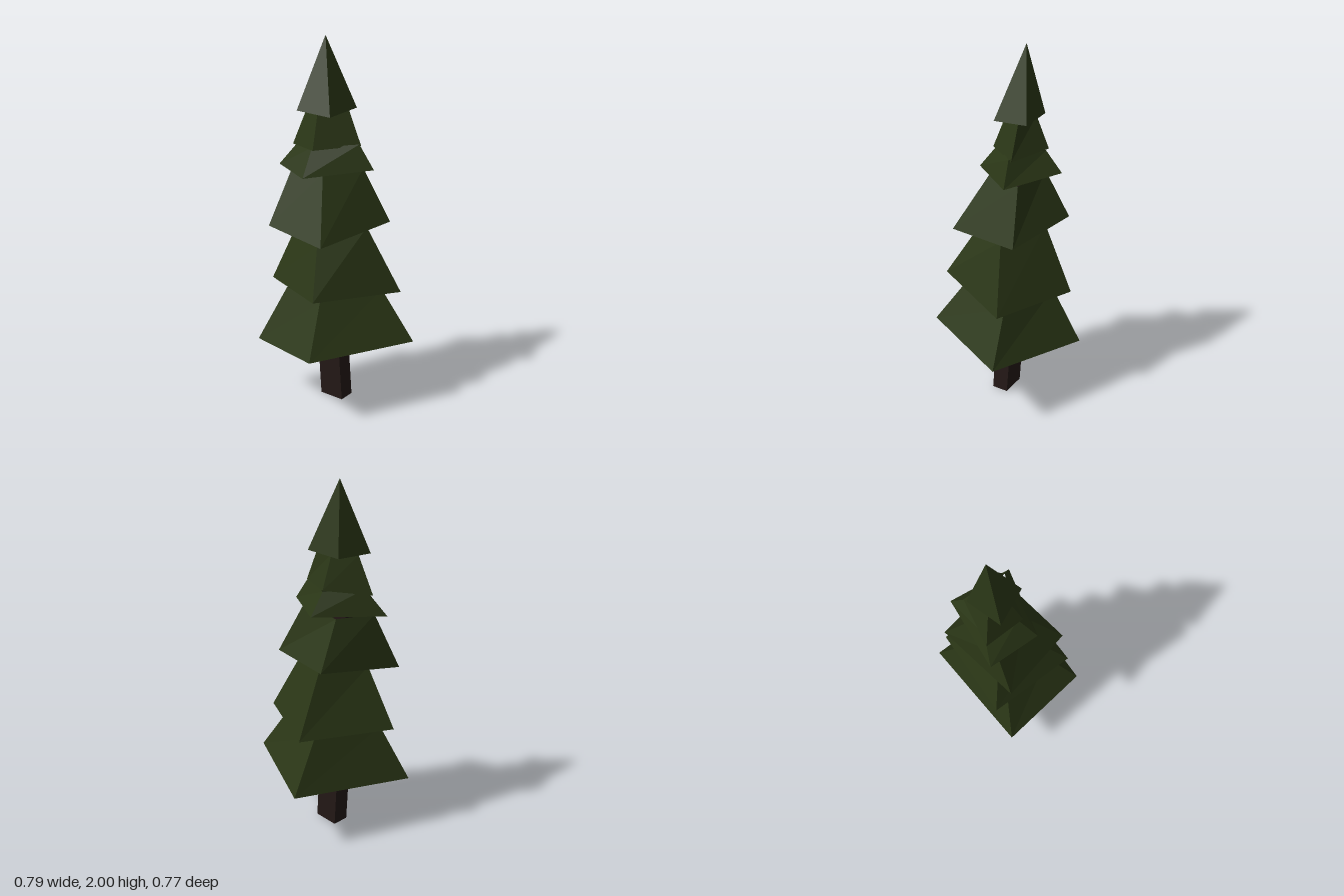
import * as THREE from 'three';

const leafMat = new THREE.MeshStandardMaterial({ color: 0x2a3616, flatShading: true, side: THREE.DoubleSide });
const barkMat = new THREE.MeshStandardMaterial({ color: 0x231816, flatShading: true, side: THREE.DoubleSide });

// Four-sided sleeve between two rings; corners run left, front, right, back
function sleeve(name, bottom, top, material, capped = false) {
  const pos = [];
  const tri = (a, b, c) => pos.push(...a, ...b, ...c);
  for (let i = 0; i < 4; i++) {
    const j = (i + 1) % 4;
    tri(bottom[i], bottom[j], top[j]);
    tri(bottom[i], top[j], top[i]);
  }
  if (capped) {
    tri(top[0], top[1], top[2]);
    tri(top[0], top[2], top[3]);
    tri(bottom[2], bottom[1], bottom[0]);
    tri(bottom[3], bottom[2], bottom[0]);
  }
  const geo = new THREE.BufferGeometry();
  geo.setAttribute('position', new THREE.Float32BufferAttribute(pos, 3));
  geo.computeVertexNormals();
  const mesh = new THREE.Mesh(geo, material);
  mesh.name = name;
  return mesh;
}

// Rectangular ring of the leaning trunk
const trunkRing = (x, y, z, w, d) =>
  [[-1, -1], [-1, 1], [1, 1], [1, -1]].map(([sx, sz]) => [x + sx * w, y, z + sz * d]);

// Hollow, uneven skirts of branches: lower ring and upper ring
const tiers = [
  [[[-0.395, 0.38, 0.105], [0.16, 0.375, 0.385], [0.395, 0.35, -0.15], [-0.23, 0.32, -0.39]],
   [[-0.22, 0.645, 0.04], [0.12, 0.65, 0.2], [0.23, 0.645, -0.13], [-0.13, 0.63, -0.26]]],
  [[[-0.33, 0.69, 0.08], [0.14, 0.655, 0.31], [0.34, 0.66, -0.13], [-0.12, 0.66, -0.37]],
   [[-0.19, 0.94, 0], [0.06, 1.01, 0.14], [0.18, 1.03, -0.12], [-0.06, 1.0, -0.23]]],
  [[[-0.275, 0.975, 0.09], [0.175, 1.025, 0.21], [0.268, 1.06, -0.22], [-0.19, 0.99, -0.33]],
   [[-0.1, 1.31, -0.03], [0.12, 1.31, 0.07], [0.135, 1.31, -0.19], [-0.07, 1.3, -0.26]]],
  [[[-0.205, 1.3, -0.08], [0.09, 1.32, 0.16], [0.26, 1.34, -0.14], [-0.08, 1.31, -0.34]],
   [[-0.1, 1.44, -0.1], [0.07, 1.45, 0.08], [0.17, 1.45, -0.13], [0, 1.45, -0.25]]],
  [[[-0.12, 1.43, -0.08], [0.085, 1.44, 0.08], [0.18, 1.46, -0.14], [-0.03, 1.42, -0.285]],
   [[-0.05, 1.62, -0.1], [0.08, 1.63, 0], [0.11, 1.63, -0.13], [0, 1.62, -0.21]]],
];

export function createModel() {
  const tree = new THREE.Group();
  tree.name = 'pineTree';

  tree.add(sleeve('trunk',
    trunkRing(0, 0, -0.018, 0.046, 0.072),
    trunkRing(0.03, 1.42, -0.138, 0.046, 0.068), barkMat, true));

  tiers.forEach(([bottom, top], i) => tree.add(sleeve(`branchTier${i + 1}`, bottom, top, leafMat)));

  // Pointed crown
  const tip = [0.05, 2, -0.125];
  tree.add(sleeve('crown',
    [[-0.07, 1.605, -0.005], [0.135, 1.625, 0.015], [0.125, 1.625, -0.195], [-0.075, 1.615, -0.22]],
    [tip, tip, tip, tip], leafMat));

  return tree;
}
